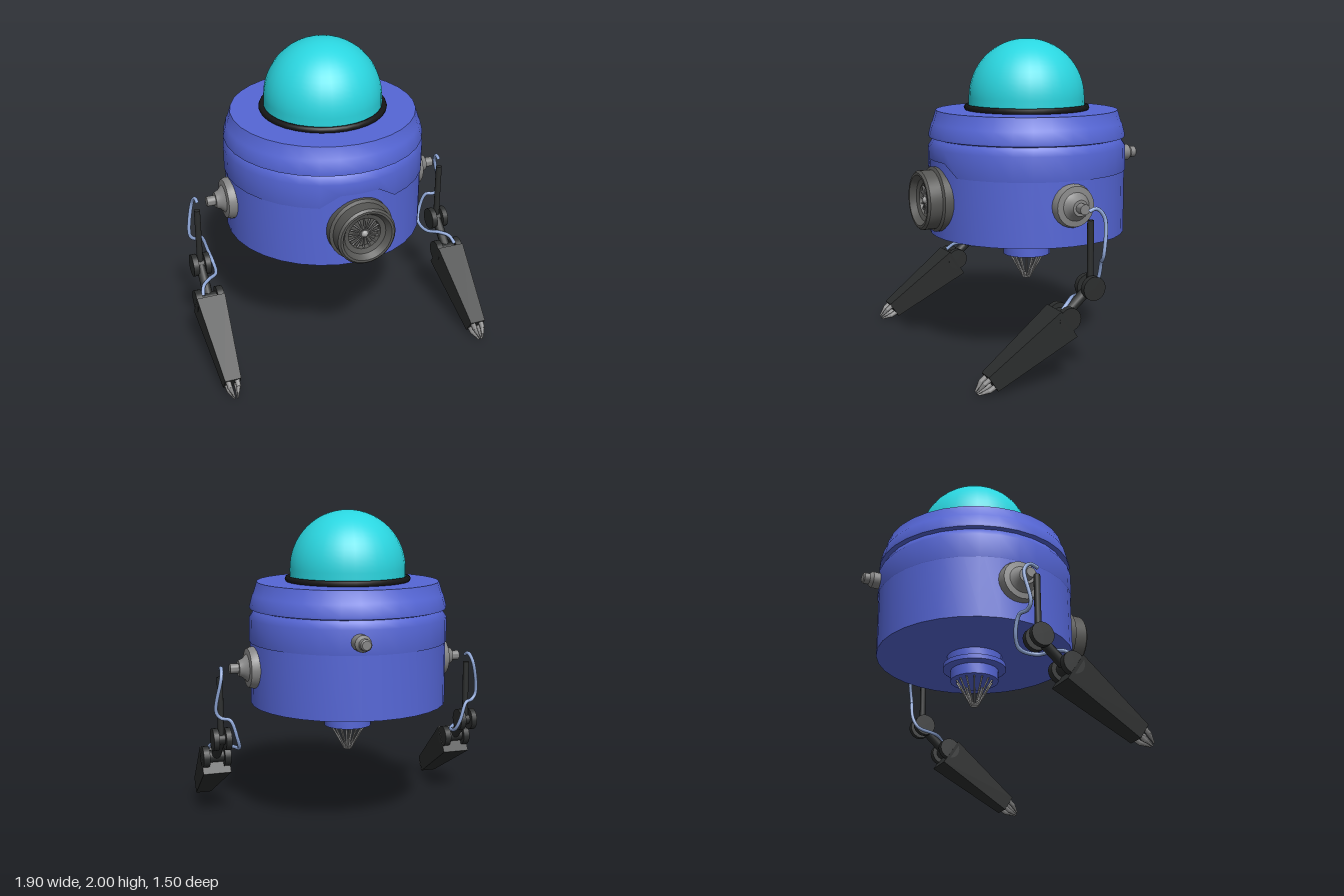
import * as THREE from 'three';
import { toCreasedNormals } from 'three/addons/utils/BufferGeometryUtils.js';

const mat = (color, side = THREE.FrontSide) => new THREE.MeshStandardMaterial({ color, side });
const BLUE = mat(0x5566d6), BAND = mat(0x5566d6, THREE.DoubleSide), CYAN = mat(0x2ad6e0);
const BLACK = mat(0x161616), ARM = mat(0x2b2d2d), LENS = mat(0x565654, THREE.DoubleSide);
const GREY = mat(0x858585), STEEL = mat(0xa8a8a8), WIRE = mat(0x8ea6d6);

const points = (list) => list.map(([r, y]) => new THREE.Vector2(r, y));
const lathe = (list, seg = 32, crease = 0.6) =>
  toCreasedNormals(new THREE.LatheGeometry(points(list), seg), crease);

function add(parent, name, geometry, material, x = 0, y = 0, z = 0) {
  const mesh = new THREE.Mesh(geometry, material);
  mesh.name = name;
  mesh.position.set(x, y, z);
  parent.add(mesh);
  return mesh;
}

// Round bar between two points
function rod(parent, name, a, b, r0, r1, material, seg = 8) {
  const from = new THREE.Vector3(...a), to = new THREE.Vector3(...b);
  const dir = to.clone().sub(from);
  const mesh = add(parent, name, new THREE.CylinderGeometry(r1, r0, dir.length(), seg), material);
  mesh.position.copy(from).addScaledVector(dir, 0.5);
  mesh.quaternion.setFromUnitVectors(new THREE.Vector3(0, 1, 0), dir.normalize());
  return mesh;
}

function buildBody(g) {
  add(g, 'lowerBody', lathe([[0, 0.755], [0.636, 0.755], [0.636, 1.26], [0.6, 1.27]]), BLUE);

  // Middle band, its lower edge arching over the front lens
  const band = new THREE.LatheGeometry(
    points([[0.622, 1.16], [0.642, 1.16], [0.642, 1.315], [0.615, 1.355], [0.605, 1.375]]), 32);
  const p = band.attributes.position;
  for (let i = 0; i < p.count; i++) {
    if (p.getY(i) < 1.2 && p.getZ(i) > 0 && Math.abs(p.getX(i)) < 0.2) p.setY(i, 1.24);
  }
  add(g, 'middleBand', band, BAND);

  add(g, 'upperTier', lathe([[0.6, 1.365], [0.638, 1.375], [0.638, 1.39], [0.62, 1.46],
    [0.613, 1.47], [0.59, 1.545], [0, 1.545]], 32, 0.4), BLUE);

  // Dome and its seal
  add(g, 'dome', new THREE.SphereGeometry(0.375, 32, 16, 0, Math.PI * 2, 0, Math.PI / 2), CYAN, 0, 1.625);
  add(g, 'domeBase', new THREE.CylinderGeometry(0.375, 0.375, 0.08, 32, 1, true), CYAN, 0, 1.585);
  add(g, 'domeSeal', new THREE.TorusGeometry(0.388, 0.02, 8, 32).rotateX(Math.PI / 2), BLACK, 0, 1.56);

  // Underside hub with a cone of thin rods
  add(g, 'hub', lathe([[0, 0.59], [0.155, 0.59], [0.155, 0.66], [0.19, 0.66], [0.205, 0.67],
    [0.205, 0.7], [0.18, 0.71], [0.18, 0.76]], 24), BLUE);
  for (let i = 0; i < 14; i++) {
    const a = (i / 14) * Math.PI * 2, c = Math.cos(a), s = Math.sin(a);
    rod(g, 'coneRod', [0.12 * c, 0.6, 0.12 * s], [0.02 * c, 0.425, 0.02 * s], 0.006, 0.006, STEEL, 5);
  }
  add(g, 'coneTip', new THREE.CylinderGeometry(0.028, 0.024, 0.012, 12), STEEL, 0, 0.43);
}

function buildLens(g) {
  const lens = new THREE.Group();
  lens.name = 'frontLens';
  lens.position.set(0, 1, 0);
  g.add(lens);
  const housing = lathe([[0.205, 0.56], [0.207, 0.655], [0.188, 0.665], [0.188, 0.745], [0.175, 0.758],
    [0.16, 0.758], [0.135, 0.72], [0.105, 0.71], [0.1, 0.68], [0, 0.68]]);
  add(lens, 'lensHousing', housing.rotateX(Math.PI / 2), LENS);
  for (let i = 0; i < 16; i++) {
    const a = (i / 16) * Math.PI * 2, c = Math.cos(a), s = Math.sin(a);
    rod(lens, 'grilleFin', [0.015 * c, 0.015 * s, 0.71], [0.103 * c, 0.103 * s, 0.695], 0.004, 0.007, GREY, 5);
  }
  add(lens, 'grilleHub', new THREE.SphereGeometry(0.024, 12, 8), STEEL, 0, 0, 0.705);
}

function buildArm(g, s) {
  const arm = new THREE.Group();
  arm.name = s > 0 ? 'leftArm' : 'rightArm';
  g.add(arm);
  const X = s * 0.855;

  // Shoulder socket on the body side
  const socket = lathe([[0.135, 0.6], [0.135, 0.645], [0.125, 0.675], [0.088, 0.68], [0.062, 0.705],
    [0.05, 0.735], [0.032, 0.735], [0.032, 0.79], [0, 0.79]], 24);
  add(arm, 'shoulderSocket', socket.rotateZ(-s * Math.PI / 2), GREY, 0, 1.01);

  // Upper bar, elbow and short link
  rod(arm, 'upperBar', [X, 0.96, 0], [X, 0.55, 0], 0.02, 0.02, ARM, 12);
  const elbow = [0.557, 0], wrist = [0.4, 0.178];
  const disc = (name, r, w, dx, [y, z]) =>
    add(arm, name, new THREE.CylinderGeometry(r, r, w, 20).rotateZ(Math.PI / 2), ARM, X + dx, y, z);
  for (const d of [-1, 1]) {
    disc('elbowDisc', 0.073, 0.036, d * 0.04, elbow);
    disc('wristDisc', 0.07, 0.042, d * 0.07, wrist);
  }
  disc('elbowAxle', 0.035, 0.08, 0, elbow);
  disc('wristAxle', 0.04, 0.14, 0, wrist);
  rod(arm, 'link', [X, ...elbow], [X, ...wrist], 0.032, 0.032, ARM, 12);

  // Tapered forearm
  const hand = new THREE.Group();
  hand.name = 'forearm';
  hand.position.set(X, 0.375, 0.185);
  hand.rotation.x = 0.58;
  arm.add(hand);
  const box = new THREE.BoxGeometry(0.185, 0.195, 0.56).translate(0, 0, 0.28);
  const p = box.attributes.position;
  for (let i = 0; i < p.count; i++) {
    if (p.getZ(i) > 0.3) p.setXY(i, p.getX(i) * 0.56, p.getY(i) * 0.56);
  }
  box.computeVertexNormals();
  add(hand, 'forearmShell', box, ARM);

  // Gripper prongs closing to a point
  for (let i = 0; i < 4; i++) {
    const a = (i + 0.5) * Math.PI / 2, c = Math.cos(a), q = Math.sin(a);
    rod(hand, 'prong', [0.042 * c, 0.042 * q, 0.55], [0.038 * c, 0.038 * q, 0.6], 0.018, 0.016, GREY, 6);
    rod(hand, 'prongTip', [0.038 * c, 0.038 * q, 0.595], [0.014 * c, 0.014 * q, 0.66], 0.016, 0.005, GREY, 6);
  }

  // Cable running from the shoulder to the forearm
  const path = [[0.85, 1.01, 0.01], [0.853, 1.025, -0.04], [0.865, 0.97, -0.09], [0.897, 0.75, -0.068],
    [0.865, 0.71, -0.075], [0.815, 0.7, -0.1], [0.772, 0.58, -0.105], [0.752, 0.51, -0.07],
    [0.765, 0.49, 0.04], [0.83, 0.5, 0.11], [0.88, 0.49, 0.16], [0.9, 0.45, 0.21]];
  const curve = new THREE.CatmullRomCurve3(path.map(([x, y, z]) => new THREE.Vector3(s * x, y, z)));
  add(arm, 'cable', new THREE.TubeGeometry(curve, 60, 0.012, 8), WIRE);
}

export function createModel() {
  const model = new THREE.Group();
  model.name = 'domedRobot';
  const g = new THREE.Group();
  g.name = 'robot';
  g.position.z = -0.013;
  g.rotation.y = -0.016;
  model.add(g);

  buildBody(g);
  buildLens(g);
  for (const s of [-1, 1]) buildArm(g, s);

  // Nozzle on the back
  const nozzle = lathe([[0.053, 0.58], [0.053, 0.68], [0.036, 0.7], [0.036, 0.735], [0.028, 0.742], [0, 0.742]], 16);
  add(g, 'backNozzle', nozzle.rotateX(-Math.PI / 2), GREY, 0.135, 1.24, 0);
  return model;
}
